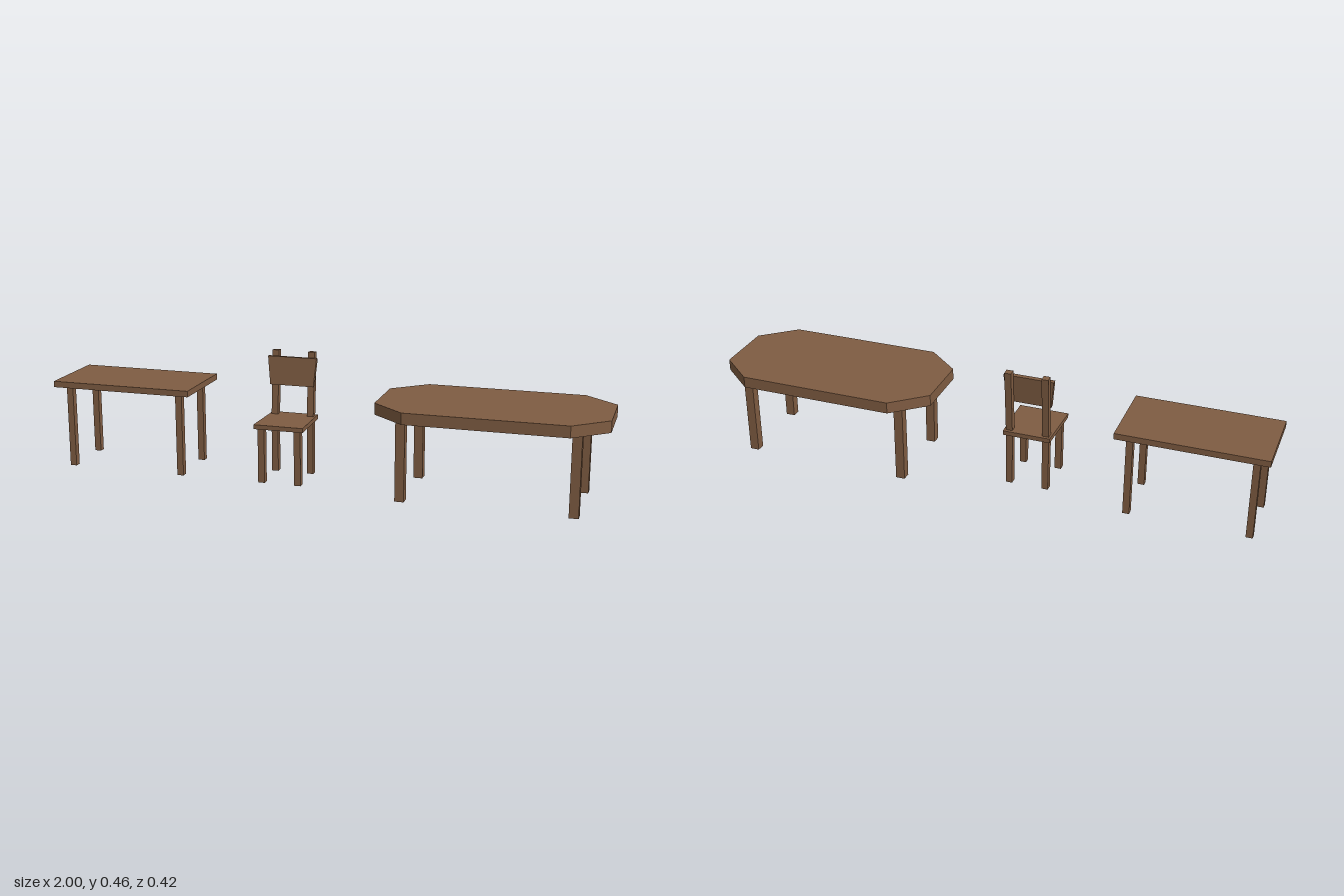
import * as THREE from 'three';

export function createModel() {
  const wood = new THREE.MeshStandardMaterial({ color: 0x7f5c42 });
  wood.name = 'brown wood';

  const add = (parent, name, geometry, x, y, z) => {
    const mesh = new THREE.Mesh(geometry, wood);
    mesh.name = name;
    mesh.position.set(x, y, z);
    parent.add(mesh);
    return mesh;
  };
  const group = (parent, name, x = 0) => {
    const g = new THREE.Group();
    g.name = name;
    g.position.x = x;
    parent.add(g);
    return g;
  };
  // Square legs at every pairing of the given x and z positions
  const addLegs = (parent, xs, zs, width, y0, y1) => {
    for (const x of xs) for (const z of zs) {
      add(parent, 'leg', new THREE.BoxGeometry(width, y1 - y0, width), x, (y0 + y1) / 2, z);
    }
  };
  // Flat outline extruded to a given thickness
  const slab = (points, depth) => new THREE.ExtrudeGeometry(
    new THREE.Shape(points.map(([x, y]) => new THREE.Vector2(x, y))),
    { depth, bevelEnabled: false });

  const model = new THREE.Group();
  model.name = 'furnitureSet';

  // Rectangular table
  const desk = group(model, 'rectangularTable', -0.7375);
  add(desk, 'tableTop', new THREE.BoxGeometry(0.525, 0.022, 0.284), 0, 0.32, 0);
  addLegs(desk, [-0.214, 0.214], [-0.101, 0.101], 0.024, 0.007, 0.31);

  // Table with clipped corners
  const table = group(model, 'octagonalTable', 0.6);
  const outline = [[0.4, 0.108], [0.28, 0.212], [-0.28, 0.212], [-0.4, 0.108],
    [-0.4, -0.108], [-0.28, -0.212], [0.28, -0.212], [0.4, -0.108]];
  const top = add(table, 'tableTop', slab(outline, 0.041), 0, 0.29, 0);
  top.rotation.x = -Math.PI / 2;
  addLegs(table, [-0.297, 0.297], [-0.143, 0.14], 0.033, 0, 0.291);

  // Chair
  const chair = group(model, 'chair', -0.145);
  const seat = add(chair, 'seat',
    slab([[-0.091, -0.123], [0.091, -0.123], [0.086, 0.075], [-0.086, 0.075]], 0.016), 0, 0.207, 0);
  seat.rotation.x = -Math.PI / 2;
  addLegs(chair, [-0.067, 0.067], [-0.05, 0.101], 0.024, 0.008, 0.208);

  // Leaning back: two posts and a flared panel in front of them
  const back = group(chair, 'chairBack');
  back.position.set(0, 0.218, -0.051);
  back.rotation.x = -0.082;
  for (const x of [-0.067, 0.067]) {
    add(back, 'backPost', new THREE.BoxGeometry(0.024, 0.238, 0.024), x, 0.119, 0);
  }
  add(back, 'backPanel',
    slab([[-0.081, 0.114], [0.081, 0.114], [0.091, 0.217], [-0.091, 0.217]], 0.016), 0, 0, 0.011);

  return model;
}
